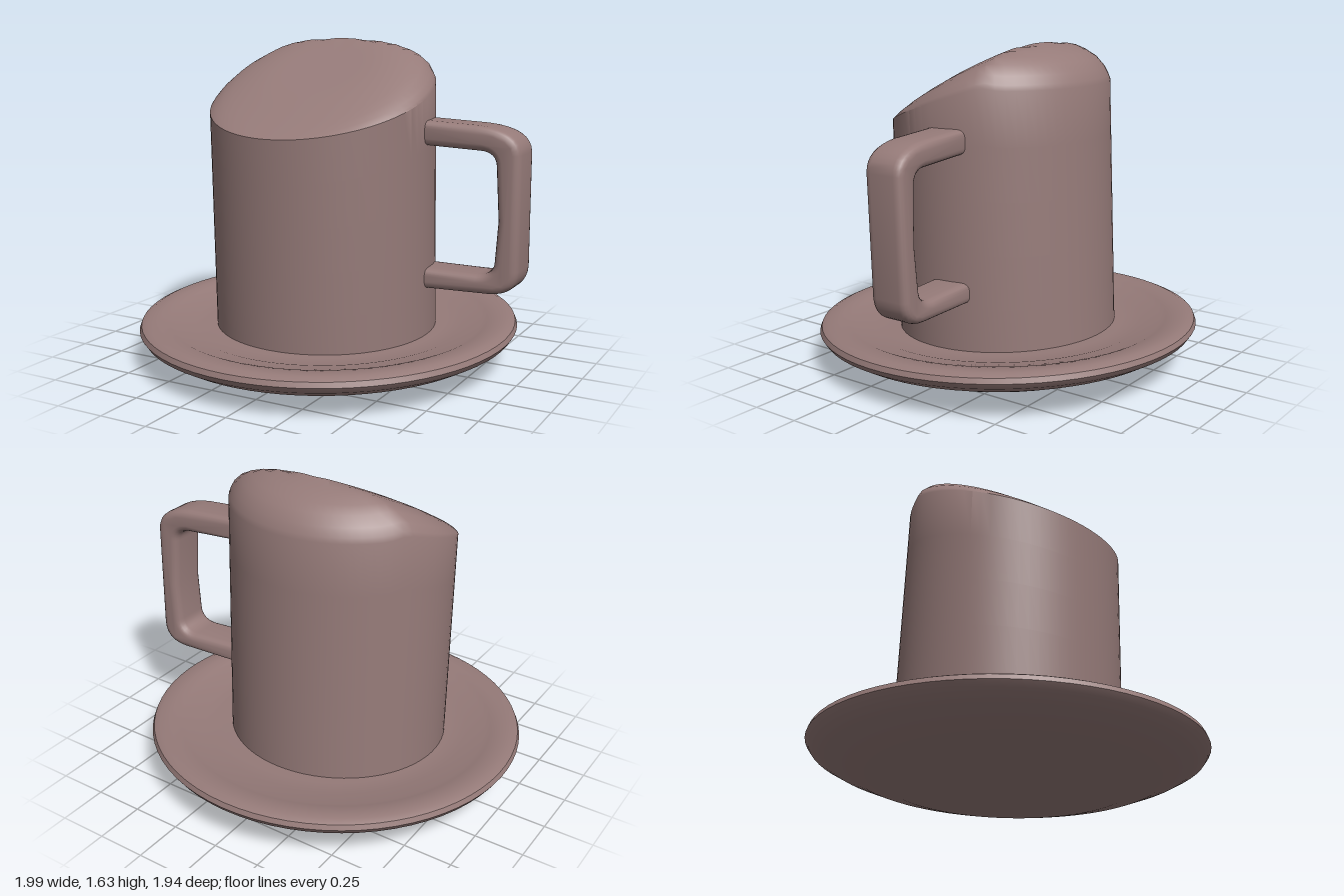
import * as THREE from 'three';
import { mergeVertices, toCreasedNormals } from 'three/addons/utils/BufferGeometryUtils.js';

// Move every vertex by a rule, then rebuild smooth normals with creased edges.
function reshape(geometry, rule, crease = 0.6) {
  geometry.deleteAttribute('uv');
  geometry.deleteAttribute('normal');
  const p = geometry.attributes.position;
  const v = new THREE.Vector3();
  for (let i = 0; i < p.count; i++) {
    v.fromBufferAttribute(p, i);
    rule(v);
    p.setXYZ(i, v.x, v.y, v.z);
  }
  return toCreasedNormals(mergeVertices(geometry, 1e-5), crease);
}

const points = (list) => list.map(([x, y]) => new THREE.Vector2(x, y));

export function createModel() {
  const model = new THREE.Group();
  const clay = new THREE.MeshStandardMaterial({ color: 0x967b79 });
  clay.name = 'dusty brown clay';

  const add = (name, geometry) => {
    const mesh = new THREE.Mesh(geometry, clay);
    mesh.name = name;
    model.add(mesh);
  };

  // Saucer: shallow dish, tipped slightly up towards the back
  const dish = new THREE.LatheGeometry(points([
    [0, 0.015], [0.45, 0.018], [0.6, 0.032], [0.75, 0.072], [0.88, 0.125], [0.95, 0.165],
    [0.97, 0.195], [0.96, 0.22], [0.93, 0.234], [0.87, 0.23], [0.82, 0.222], [0.79, 0.21],
    [0.72, 0.206], [0.69, 0.197], [0.6, 0.194], [0, 0.194],
  ]), 72);
  add('saucer', reshape(dish, (v) => {
    v.x -= 0.03;
    v.y -= 0.03 * v.z;
  }));

  // Cup: solid cylinder with a slanted top, rounded more and more towards the high back.
  // Profile height 0..1 runs up the wall; 1..2 runs through the rim rounding.
  const wall = [0, 0.2, 0.4, 0.6, 0.8, 1].map((t) => [1, t]);
  const rim = [[0.985, 1.13], [0.95, 1.34], [0.88, 1.58], [0.8, 1.73], [0.7, 1.86], [0.6, 1.94]];
  const cap = [0.48, 0.36, 0.24, 0.12, 0].map((r) => [r, 2]);
  const cup = new THREE.LatheGeometry(points([[0, 0], ...wall, ...rim, ...cap]), 72);
  const base = 0.15;
  add('cup', reshape(cup, (v) => {
    const slant = Math.min(1.63, 1.22 + 0.533 * (0.515 - v.z * 0.54));
    const round = 0.01 + 0.18 * Math.min(1, (1 - v.z) / 1.6);
    const edge = slant - round;
    v.y = v.y <= 1 ? base + (edge - base) * v.y : edge + round * (v.y - 1);
    v.x = v.x * 0.57 - 0.04;
    v.z = v.z * (0.55 - 0.012 * (v.y - 0.2)) + 0.005 + 0.034 * (v.y - 0.2);
  }));

  // Handle: squared loop with softened corners, ends buried in the cup wall
  const loop = new THREE.Shape();
  loop.moveTo(0.45, 1.265);
  loop.lineTo(0.78, 1.25);
  loop.quadraticCurveTo(0.985, 1.235, 0.99, 1.12);
  loop.lineTo(0.987, 0.56);
  loop.quadraticCurveTo(0.98, 0.44, 0.84, 0.437);
  loop.lineTo(0.45, 0.432);
  loop.lineTo(0.45, 0.535);
  loop.lineTo(0.78, 0.53);
  loop.quadraticCurveTo(0.865, 0.53, 0.87, 0.6);
  loop.lineTo(0.885, 0.8);
  loop.lineTo(0.872, 1.06);
  loop.quadraticCurveTo(0.87, 1.125, 0.8, 1.13);
  loop.lineTo(0.45, 1.145);
  loop.closePath();
  const bar = new THREE.ExtrudeGeometry(loop, {
    depth: 0.13, curveSegments: 8,
    bevelEnabled: true, bevelThickness: 0.04, bevelSize: 0.035, bevelOffset: -0.035, bevelSegments: 4,
  });
  add('handle', reshape(bar, (v) => {
    v.z += -0.065 - 0.065 + 0.03 * (v.y - 0.85) - 0.07 * (v.x - 0.75);
  }, 0.7));

  return model;
}
